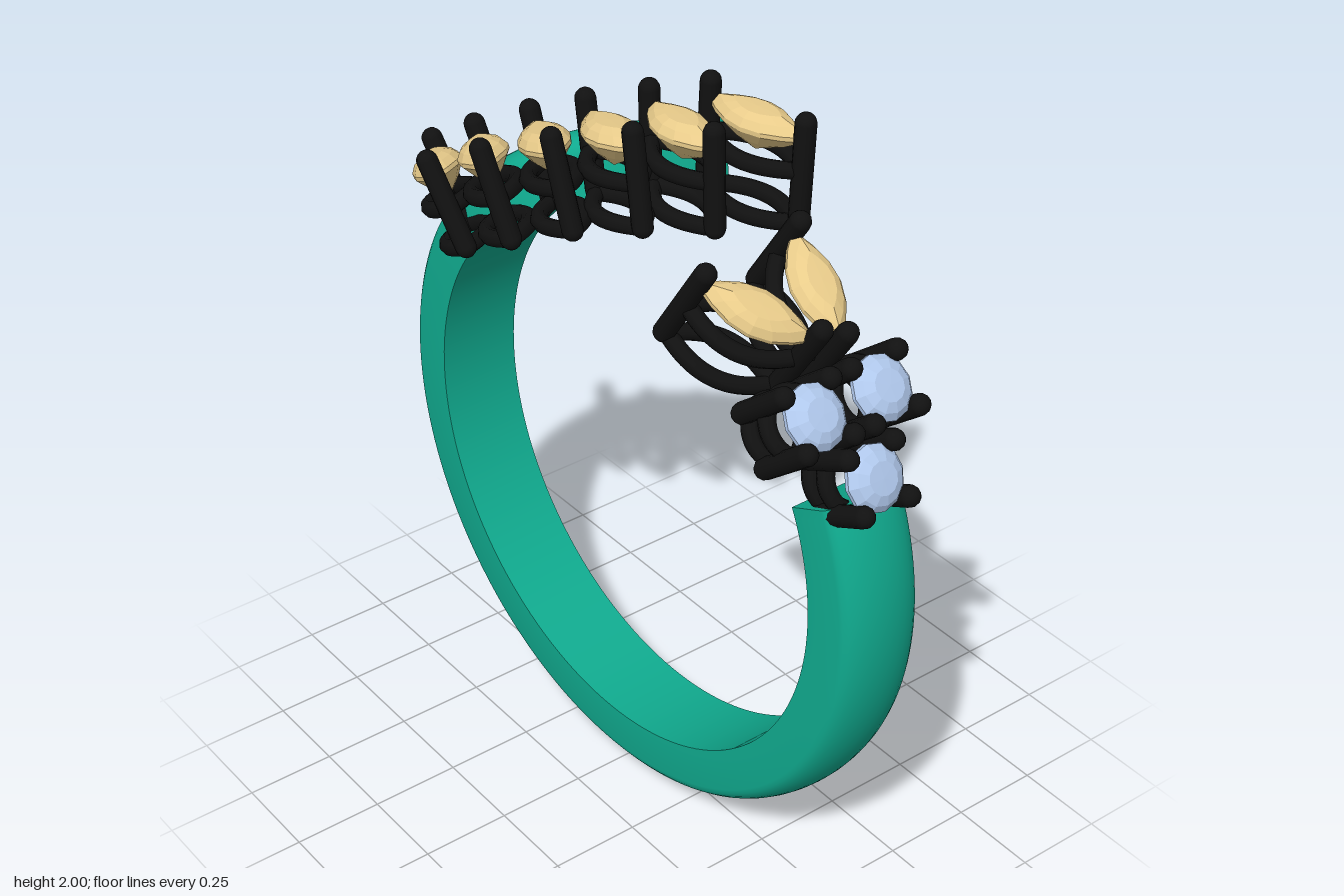
import * as THREE from 'three';
import { toCreasedNormals } from 'three/addons/utils/BufferGeometryUtils.js';

const CX = -0.012, CY = 0.91; // centre of the finger hole
const bandMat = new THREE.MeshStandardMaterial({ color: 0x10ab8f });
const prongMat = new THREE.MeshStandardMaterial({ color: 0x111111 });
const tanMat = new THREE.MeshStandardMaterial({ color: 0xe8cb8a, flatShading: true });
const blueMat = new THREE.MeshStandardMaterial({ color: 0xb0c8ec, flatShading: true });
const rad = THREE.MathUtils.degToRad;

function add(parent, name, geometry, material) {
  const mesh = new THREE.Mesh(geometry, material);
  mesh.name = name;
  parent.add(mesh);
  return mesh;
}

// Open band: flat inside and sides, domed outside; one end sweeps back and narrows
function bandGeometry() {
  const steps = 144, dome = 14, inner = 0.748, shoulder = 0.862, outer = 0.918;
  const profile = [[inner, -1], [inner, 1]];
  for (let i = 0; i <= dome; i++) {
    const a = (i / dome) * Math.PI;
    profile.push([shoulder + (outer - shoulder) * Math.sin(a), Math.cos(a)]);
  }
  const n = profile.length, pos = [], idx = [];
  for (let s = 0; s <= steps; s++) {
    const deg = 97 + (385 - 97) * s / steps, th = rad(deg);
    const t = Math.max(0, (160 - deg) / 63);
    const zc = -0.01 - 0.03 * Math.cos(th) - 0.31 * Math.pow(t, 3.6);
    const half = 0.118 - 0.098 * Math.pow(t, 4);
    for (const [r, w] of profile) {
      pos.push(CX + r * Math.cos(th), CY + r * Math.sin(th), zc + half * w);
    }
  }
  for (let s = 0; s < steps; s++) {
    for (let i = 0; i < n; i++) {
      const j = (i + 1) % n;
      const a = s * n + i, b = s * n + j, c = b + n, d = a + n;
      idx.push(a, b, c, a, c, d);
    }
  }
  // End caps
  const e = steps * n;
  for (let i = 1; i < n - 1; i++) idx.push(0, i + 1, i, e, e + i, e + i + 1);
  const g = new THREE.BufferGeometry();
  g.setAttribute('position', new THREE.Float32BufferAttribute(pos, 3));
  g.setIndex(idx);
  return toCreasedNormals(g, rad(32));
}

// Outline point: a pointed lens when marquise, otherwise a circle
function outline(a, L, W, marquise) {
  const s = Math.sin(a);
  return [L * Math.cos(a), W * s * (marquise ? Math.abs(s) : 1)];
}

// Faceted stone with pavilion, girdle, crown and table
function gemGeometry(L, W, marquise) {
  const profile = [[0, -0.085], [0.6, -0.045], [1, -0.008], [1, 0.004], [0.8, 0.023], [0.5, 0.035], [0, 0.036]];
  const g = new THREE.LatheGeometry(profile.map(([r, y]) => new THREE.Vector2(r, y)), marquise ? 16 : 12);
  const p = g.attributes.position;
  for (let i = 0; i < p.count; i++) {
    const x = p.getX(i), z = p.getZ(i), r = Math.hypot(x, z);
    const [u, v] = outline(Math.atan2(x, z), L * r, W * r, marquise);
    // u, v run along the gem's length and width; the sign keeps faces outward
    p.setX(i, u);
    p.setZ(i, -v);
  }
  g.computeVertexNormals();
  return g;
}

// Closed wire rail following the outline of the stone
function railGeometry(L, W, marquise) {
  const pts = [];
  for (let i = 0; i < 20; i++) {
    const [x, z] = outline((i / 20) * Math.PI * 2, L, W, marquise);
    pts.push(new THREE.Vector3(x, 0, z));
  }
  return new THREE.TubeGeometry(new THREE.CatmullRomCurve3(pts, true), 48, 0.023, 8, true);
}

// Stone with its rails and prongs; local y is the stone's normal, local x its length
function setting(name, o) {
  const g = new THREE.Group();
  g.name = name;
  const normal = new THREE.Vector3(Math.cos(rad(o.tilt)), Math.sin(rad(o.tilt)), o.lean || 0).normalize();
  // Length direction as seen from above, laid into the plane of the stone
  const along = new THREE.Vector3(o.dir[0], 0, o.dir[1]);
  along.y = -(along.x * normal.x + along.z * normal.z) / normal.y;
  along.normalize();
  const across = new THREE.Vector3().crossVectors(along, normal);
  g.quaternion.setFromRotationMatrix(new THREE.Matrix4().makeBasis(along, normal, across));
  g.position.set(...o.at);

  const m = o.marquise;
  const L = m ? 0.15 : 0.084, W = m ? 0.068 : 0.084;
  add(g, 'gem', gemGeometry(L, W, m), m ? tanMat : blueMat);
  add(g, 'upperRail', railGeometry(L * 0.95, W * 0.9, m), prongMat).position.y = -0.09;
  add(g, 'lowerRail', railGeometry(L * 0.93, W * 0.85, m), prongMat).position.y = -o.depth + 0.025;

  const top = m ? 0.075 : 0.045, R = 0.028;
  const spots = m ? [[L, 0], [-L, 0]]
    : [45, 135, 225, 315].map(d => [0.1 * Math.cos(rad(d)), 0.1 * Math.sin(rad(d))]);
  for (const [x, z] of spots) {
    const prong = add(g, 'prong', new THREE.CapsuleGeometry(R, top + o.depth - 2 * R, 5, 12), prongMat);
    prong.position.set(x, (top - o.depth) / 2, z);
  }
  return g;
}

export function createModel() {
  const model = new THREE.Group();
  model.name = 'ring';
  add(model, 'band', bandGeometry(), bandMat);

  // Row of six marquise stones crossing the top from front to back
  const row = [
    { at: [-0.615, 1.645, 0.22], dir: [0.24, 0.17], tilt: 116, lean: 0.15, depth: 0.225 },
    { at: [-0.45, 1.74, 0.185], dir: [0.25, 0.15], tilt: 111, lean: 0.1, depth: 0.225 },
    { at: [-0.3, 1.81, 0.1], dir: [0.26, 0.12], tilt: 106, lean: 0.05, depth: 0.225 },
    { at: [-0.15, 1.865, 0.005], dir: [0.29, 0.07], tilt: 99, depth: 0.23 },
    { at: [-0.02, 1.895, -0.115], dir: [0.28, 0.03], tilt: 92, depth: 0.24 },
    { at: [0.07, 1.905, -0.28], dir: [0.29, -0.06], tilt: 87, depth: 0.265 },
  ];
  // Two marquise stones on the left shoulder
  const pair = [
    { at: [0.545, 1.725, -0.075], dir: [0.22, 0.05], tilt: 56, depth: 0.255 },
    { at: [0.55, 1.725, 0.11], dir: [0.18, -0.18], tilt: 56, depth: 0.255 },
  ];
  [...row, ...pair].forEach((o, i) => model.add(setting('marquiseSetting' + (i + 1), { ...o, marquise: true })));

  // Cluster of three round stones where the band ends
  const cluster = [
    { at: [0.735, 1.52, -0.125], dir: [1, 0], tilt: 39, depth: 0.2 },
    { at: [0.735, 1.52, 0.08], dir: [1, 0], tilt: 39, depth: 0.2 },
    { at: [0.84, 1.365, -0.02], dir: [1, 0], tilt: 27, depth: 0.18 },
  ];
  cluster.forEach((o, i) => model.add(setting('roundSetting' + (i + 1), { ...o, marquise: false })));
  return model;
}
